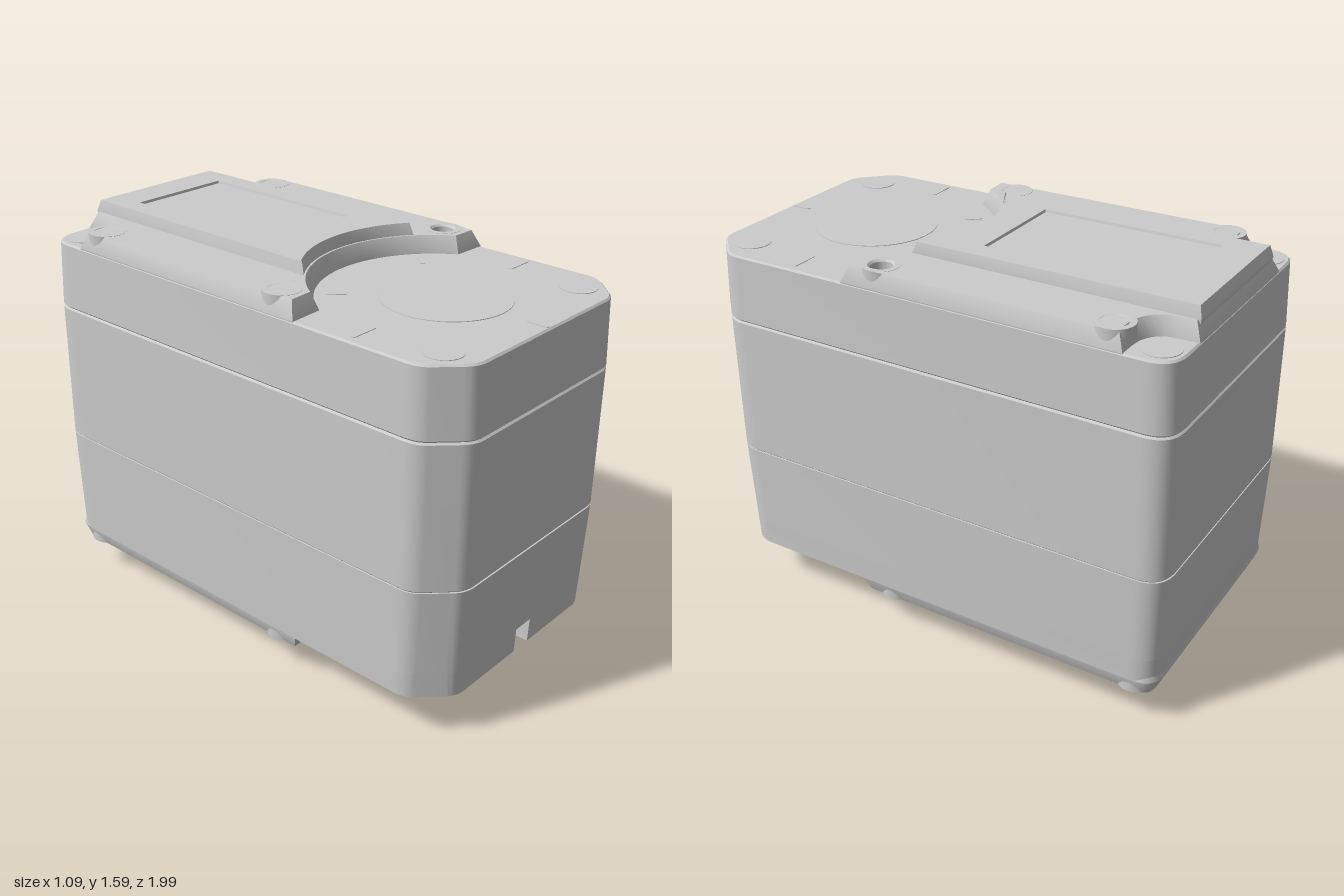
import * as THREE from 'three';
import { toCreasedNormals } from 'three/addons/utils/BufferGeometryUtils.js';

const material = new THREE.MeshStandardMaterial({ color: 0xcccccc });
const SIDES = [1, -1];

// Outline mirrored in x from half a contour of [x, z] points, front to back
function symShape(half) {
  const pts = half.map(([x, z]) => new THREE.Vector2(x, -z));
  const mirrored = half.filter(([x]) => x > 0.001).reverse().map(([x, z]) => new THREE.Vector2(-x, -z));
  return new THREE.Shape([...pts, ...mirrored]);
}

// Rounded corner through a control point
function bend(a, c, b, n = 8) {
  const v = (p) => new THREE.Vector2(...p);
  return new THREE.QuadraticBezierCurve(v(a), v(c), v(b)).getPoints(n).map((p) => [p.x, p.y]);
}

// Circular front edge concentric with the output shaft
function arcEdge(r, aMax, n = 24) {
  return Array.from({ length: n + 1 }, (_, i) => {
    const a = (aMax * i) / n;
    return [r * Math.sin(a), 0.55 - r * Math.cos(a)];
  });
}

// Horizontal slab from y0 to y1 with chamfered rims and an optional draft
function slab(shape, y0, y1, size = 0, thick = size, s0 = 1, s1 = 1) {
  const geo = new THREE.ExtrudeGeometry(shape, {
    depth: y1 - y0 - 2 * thick, curveSegments: 24, bevelEnabled: size > 0,
    bevelSize: size, bevelThickness: thick, bevelOffset: -size, bevelSegments: 1,
  });
  geo.rotateX(-Math.PI / 2).translate(0, y0 + thick, 0);
  const p = geo.attributes.position;
  for (let i = 0; i < p.count; i++) {
    const s = THREE.MathUtils.lerp(s0, s1, (p.getY(i) - y0) / (y1 - y0));
    p.setX(i, p.getX(i) * s);
    p.setZ(i, p.getZ(i) * s);
  }
  return toCreasedNormals(geo, 0.5);
}

function circleHole(x, z, r) {
  return new THREE.Path().absarc(x, -z, r, 0, Math.PI * 2, true);
}

function rectHole(w, z0, z1) {
  return new THREE.Path([[-w, z0], [w, z0], [w, z1], [-w, z1]].map(([x, z]) => new THREE.Vector2(x, -z)));
}

function lathe(points) {
  const geo = new THREE.LatheGeometry(points.map((p) => new THREE.Vector2(...p)), 40);
  return toCreasedNormals(geo, 0.5);
}

export function createModel() {
  const model = new THREE.Group();
  const tilted = new THREE.Group();
  tilted.name = 'servo';
  model.add(tilted);

  function add(name, geo, x = 0, y = 0, z = 0) {
    const mesh = new THREE.Mesh(geo, material);
    mesh.name = name;
    mesh.position.set(x, y, z);
    tilted.add(mesh);
    return mesh;
  }

  // Case: three stacked shells separated by fine seams
  const outline = [
    ...bend([0.37, 0.99], [0.415, 0.985], [0.44, 0.955]),
    ...bend([0.515, 0.88], [0.543, 0.85], [0.543, 0.8]),
    ...bend([0.543, -0.88], [0.543, -0.99], [0.433, -0.99], 12),
  ];
  const full = () => symShape([[0, 0.99], ...outline, [0, -0.99]]);
  add('topShell', slab(full(), 1.207, 1.475, 0.007, 0.007, 1, 0.99));
  add('middleShell', slab(full(), 0.637, 1.207, 0.007));
  add('bottomShell', slab(full(), 0.29, 0.637, 0, 0, 0.988, 1));

  // Bottom rim with the cable notch in front and a pocket ahead of the gear cover
  const rim = symShape([[0, 0.88], [0.045, 0.88], [0.045, 0.99], ...outline, [0, -0.99]]);
  rim.holes.push(rectHole(0.29, 0.04, -0.19));
  add('bottomRim', slab(rim, 0.19, 0.29, 0, 0, 0.984, 0.988));

  // Raised top plate with curved front and cut-away back corners
  const plate = symShape([
    ...arcEdge(0.465, 1.028), [0.537, 0.315], [0.537, -0.8],
    ...bend([0.47, -0.8], [0.345, -0.8], [0.345, -0.92]), [0.345, -0.98], [0, -0.98],
  ]);
  const topScrews = [[0.455, 0.19], [0.455, -0.73]];
  const bottomScrews = [[0.45, 0.19], [0.45, -0.87]];
  const punch = (shape, list) => SIDES.forEach((s) => list.forEach(([x, z]) => shape.holes.push(circleHole(s * x, z, 0.042))));
  punch(plate, topScrews);
  add('topPlate', slab(plate, 1.41, 1.54, 0.028, 0.064));

  // Raised label panel with a shallow recess
  const panel = symShape([...arcEdge(0.5, 0.669), [0.312, -0.965], [0, -0.965]]);
  panel.holes.push(rectHole(0.205, -0.1, -0.8));
  add('labelPanel', slab(panel, 1.495, 1.585, 0.012, 0.044));
  add('labelRecess', new THREE.BoxGeometry(0.45, 0.04, 0.74), 0, 1.555, -0.45);

  // Bottom plate with two front lobes
  const base = symShape([
    [0, -0.2], [0.27, -0.2], [0.27, 0.22], [0.34, 0.315], [0.532, 0.315],
    [0.532, -0.88], ...bend([0.532, -0.9], [0.53, -0.978], [0.44, -0.978]), [0, -0.978],
  ]);
  punch(base, bottomScrews);
  add('bottomPlate', slab(base, 0.126, 0.254, 0.026, 0.063));

  // Screw bosses lining the holes
  const boss = lathe([[0.042, 0], [0.072, 0], [0.072, 0.064], [0.05, 0.064], [0.042, 0.056], [0.042, 0]]);
  for (const s of SIDES) {
    for (const [x, z] of topScrews) add('topScrewBoss', boss, s * x, 1.477, z);
    for (const [x, z] of bottomScrews) add('bottomScrewBoss', boss, s * x, 0.189, z).rotation.x = Math.PI;
  }

  // Gear cover under the case: wedge profile in z and y
  const cover = new THREE.Shape([[-0.137, 0.19], [-0.33, 0.042], [-0.755, 0.042], [-0.765, 0.19]]
    .map(([z, y]) => new THREE.Vector2(-z, y)));
  const coverGeo = new THREE.ExtrudeGeometry(cover, { depth: 0.79, bevelEnabled: false });
  add('gearCover', coverGeo.rotateY(Math.PI / 2).translate(-0.395, 0, 0));
  add('gearCoverInset', new THREE.BoxGeometry(0.5, 0.01, 0.26), 0, 0.0445, -0.55);

  // Output shaft with bored end, seated on a thin flange
  add('outputShaft', lathe([
    [0, 0.1], [0.045, 0.1], [0.045, 0.008], [0.12, 0.008], [0.131, 0.02], [0.131, 0.2],
  ].reverse().map(([r, y]) => [r, y - 0.2]).reverse()), 0, 0.2, 0.55);
  add('shaftFlange', new THREE.CylinderGeometry(0.22, 0.22, 0.016, 48), 0, 0.19, 0.55);

  // Fine marks on the front deck
  add('deckDisc', new THREE.CylinderGeometry(0.24, 0.24, 0.006, 48), 0, 1.4745, 0.55);
  for (const s of SIDES) {
    const pin = new THREE.CylinderGeometry(0.07, 0.07, 0.006, 32);
    add('frontPin', pin, s * 0.4, 1.4745, 0.84);
    add('backPin', pin, s * 0.44, 1.4745, -0.89);
    add('sideTick', new THREE.BoxGeometry(0.11, 0.006, 0.014), s * 0.45, 1.4745, 0.55);
    const tick = add('diagonalTick', new THREE.BoxGeometry(0.014, 0.006, 0.07), s * 0.24, 1.4745, 0.25);
    tick.rotation.y = s * -0.7;
  }
  add('frontTick', new THREE.BoxGeometry(0.014, 0.006, 0.08), 0, 1.4745, 0.93);

  // Slight lean of the whole unit about its middle
  tilted.children.forEach((m) => { m.position.y -= 0.83; });
  tilted.position.y = 0.83;
  tilted.rotation.x = 0.01;
  return model;
}
